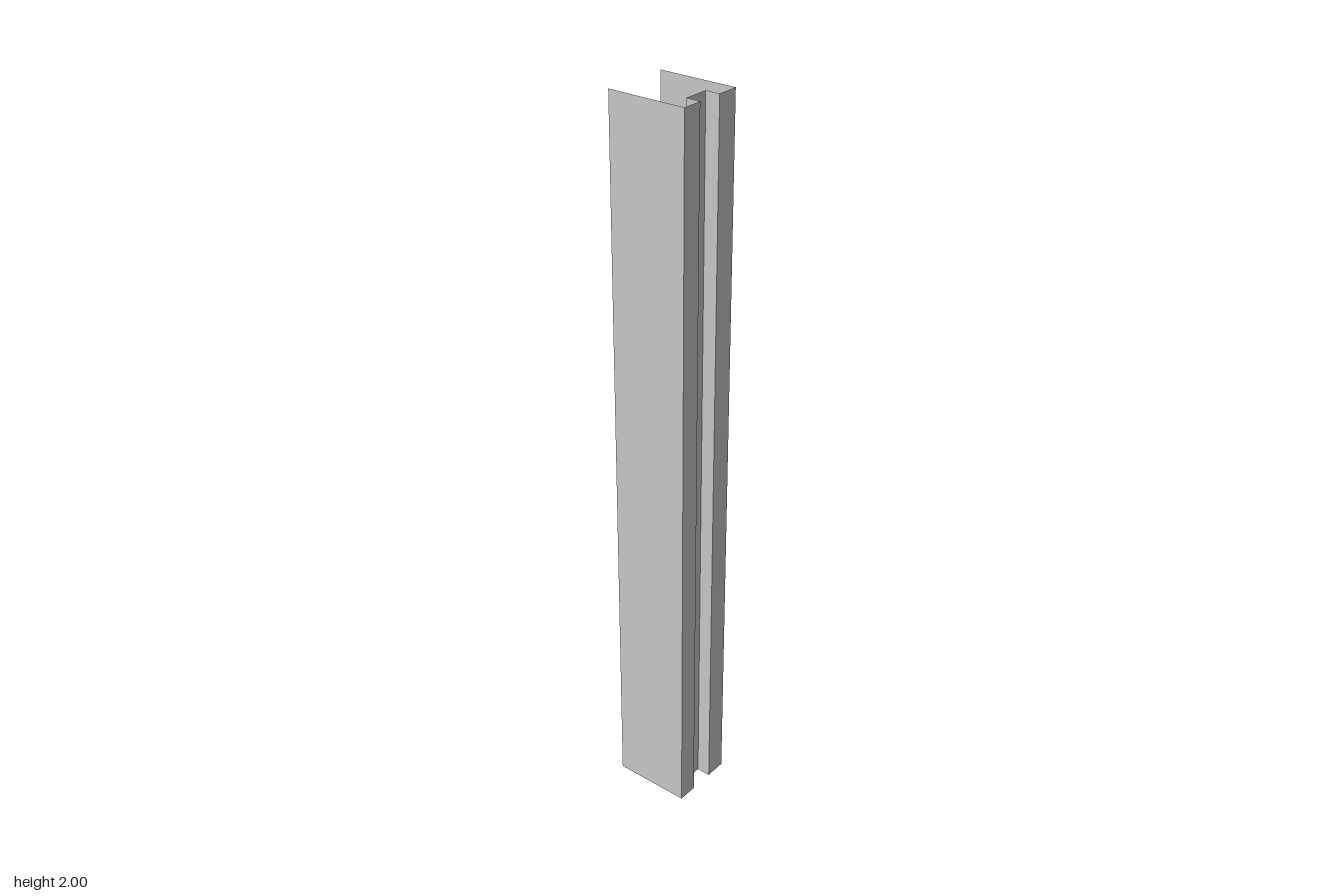
import * as THREE from 'three';

const HEIGHT = 2;
const X = 0.109, Z = 0.093;               // half width and half depth of the section
const FLOOR = 0.07;                       // x of the groove floor
const GROOVE_FRONT = 0.037, GROOVE_BACK = -0.033;

const material = new THREE.MeshStandardMaterial({
  color: 0xcccccc, flatShading: true, side: THREE.DoubleSide,
});

// Upright sheet standing on the line from a to b, both given as [x, z]
function sheet(name, a, b) {
  const [dx, dz] = [b[0] - a[0], b[1] - a[1]];
  const mesh = new THREE.Mesh(new THREE.PlaneGeometry(Math.hypot(dx, dz), HEIGHT), material);
  mesh.position.set((a[0] + b[0]) / 2, HEIGHT / 2, (a[1] + b[1]) / 2);
  mesh.rotation.y = Math.atan2(-dz, dx);
  mesh.name = name;
  return mesh;
}

export function createModel() {
  const group = new THREE.Group();
  group.name = 'groovedChannel';

  // Folded section, from the open front edge round the groove to the open back edge
  const section = [
    [-X, Z], [X, Z],
    [X, GROOVE_FRONT], [FLOOR, GROOVE_FRONT],
    [FLOOR, GROOVE_BACK], [X, GROOVE_BACK],
    [X, -Z], [-X, -Z],
  ];
  const names = ['frontPanel', 'frontEdgeStrip', 'grooveFrontWall', 'grooveFloor',
    'grooveBackWall', 'backEdgeStrip', 'backPanel'];
  names.forEach((name, i) => group.add(sheet(name, section[i], section[i + 1])));

  return group;
}
